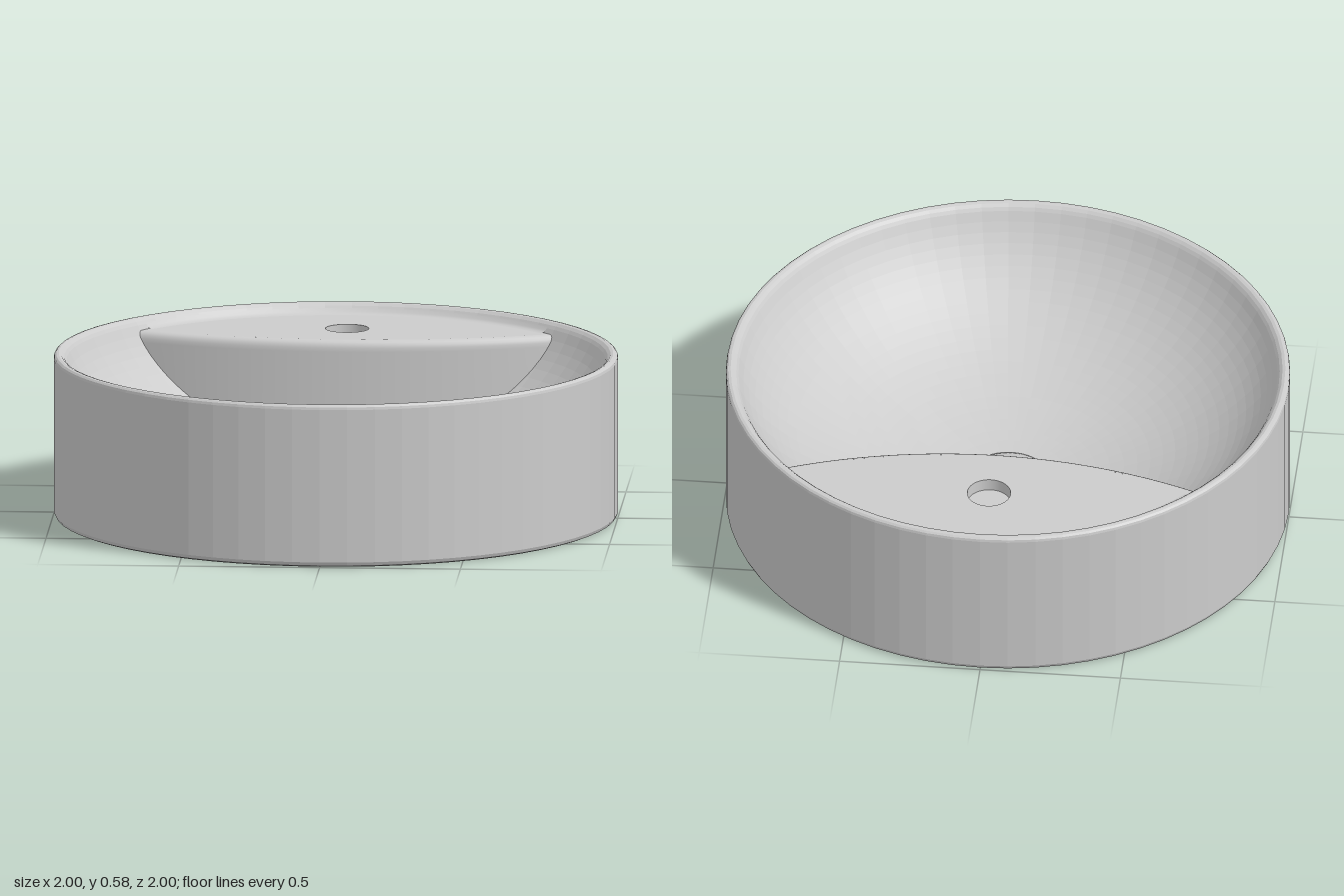
import * as THREE from 'three';

const SHELF_Y = 0.545, HOLE_Z = -0.68, HOLE_R = 0.077, HOLE_DEPTH = 0.045;
const ARC_R = 1.88, ARC_Z = -0.465 - ARC_R; // circle that shapes the shelf front

const flat = new THREE.MeshStandardMaterial({ color: 0xcccccc, flatShading: true });
const smooth = new THREE.MeshStandardMaterial({ color: 0xcccccc });
const openSurface = new THREE.MeshStandardMaterial({ color: 0xcccccc, side: THREE.DoubleSide });

// Height of the elliptical bowl surface at a distance from the axis
const bowlY = (r) => 0.09 + 0.67 * (1 - Math.sqrt(Math.max(0, 1 - r * r)));

const toPoints = (list) => list.map(([x, y]) => new THREE.Vector2(x, y));

function addMesh(group, name, geometry, material) {
  const mesh = new THREE.Mesh(geometry, material);
  mesh.name = name;
  group.add(mesh);
  return mesh;
}

// Point on the shelf front arc, pushed forward by an offset
function arcPoint(angle, offset = 0) {
  const r = ARC_R + offset;
  return [r * Math.sin(angle), ARC_Z + r * Math.cos(angle)];
}

// Outer wall, rounded rim, bowl and drain recess as one turned profile
function basinGeometry() {
  const profile = [
    [0, 0.05], [0.078, 0.05], [0.078, 0], [0.982, 0], [0.994, 0.005], [1, 0.018],
    [1, 0.568], [0.998, 0.577], [0.992, 0.583], [0.983, 0.585], [0.973, 0.582], [0.963, 0.573],
  ];
  const steps = 24;
  const maxAngle = Math.asin(0.955);
  for (let i = 0; i <= steps; i++) {
    const r = Math.sin(maxAngle * (1 - i / steps));
    profile.push([r, bowlY(r)]);
  }
  return new THREE.LatheGeometry(toPoints(profile), 64);
}

// Crescent-shaped flat shelf with the tap hole
function shelfGeometry() {
  const outline = [];
  const n = 40, frontAngle = Math.asin(0.72 / ARC_R);
  for (let i = 0; i <= n; i++) {
    const [x, z] = arcPoint(frontAngle * (2 * i / n - 1));
    outline.push(new THREE.Vector2(x, -z));
  }
  const [endX, endZ] = arcPoint(frontAngle);
  const backAngle = Math.atan2(endX, -endZ);
  for (let i = 1; i < n; i++) {
    const a = backAngle * (1 - 2 * i / n);
    outline.push(new THREE.Vector2(0.95 * Math.sin(a), 0.95 * Math.cos(a)));
  }
  const shape = new THREE.Shape(outline);
  shape.holes.push(new THREE.Path().absarc(0, -HOLE_Z, HOLE_R, 0, Math.PI * 2, true));
  return new THREE.ShapeGeometry(shape, 20).rotateX(-Math.PI / 2).translate(0, SHELF_Y, 0);
}

// Curved wall from the rounded shelf edge down to the bowl
function riserGeometry() {
  const rows = [[0, 0], [0.008, 0.002], [0.016, 0.007], [0.022, 0.015], [0.025, 0.026], [0.026, 0.04]];
  const nx = 48, ny = rows.length;
  const geometry = new THREE.PlaneGeometry(1, 1, nx, ny);
  const pos = geometry.attributes.position;
  const half = Math.asin(0.735 / ARC_R);
  for (let k = 0; k < pos.count; k++) {
    const i = k % (nx + 1), j = Math.floor(k / (nx + 1));
    const [offset, drop] = rows[Math.min(j, ny - 1)];
    const [x, z] = arcPoint(half * (2 * i / nx - 1), offset);
    const rowY = SHELF_Y - drop;
    const y = j < ny ? rowY : Math.min(rowY, bowlY(Math.hypot(x, z)) - 0.015);
    pos.setXYZ(k, x, y, z);
  }
  geometry.computeVertexNormals();
  return geometry;
}

export function createModel() {
  const basin = new THREE.Group();
  basin.name = 'washBasin';

  addMesh(basin, 'basinBody', basinGeometry(), flat);

  // Tap shelf with its front wall and the fillet against the back of the bowl
  const shelf = new THREE.Group();
  shelf.name = 'tapShelf';
  basin.add(shelf);
  addMesh(shelf, 'shelfTop', shelfGeometry(), smooth);
  addMesh(shelf, 'shelfFront', riserGeometry(), openSurface);
  const fillet = toPoints([[0.957, 0.566], [0.949, 0.555], [0.941, 0.548], [0.928, SHELF_Y + 0.0005]]);
  addMesh(shelf, 'shelfBackFillet', new THREE.LatheGeometry(fillet, 32, Math.PI - 0.84, 1.68), openSurface);

  // Blind tap hole
  const tapHole = new THREE.CylinderGeometry(HOLE_R, HOLE_R, HOLE_DEPTH, 40, 1, true);
  addMesh(shelf, 'tapHoleWall', tapHole, openSurface).position.set(0, SHELF_Y - HOLE_DEPTH / 2, HOLE_Z);
  const tapFloor = new THREE.CircleGeometry(HOLE_R, 40).rotateX(-Math.PI / 2);
  addMesh(shelf, 'tapHoleFloor', tapFloor, smooth).position.set(0, SHELF_Y - HOLE_DEPTH, HOLE_Z);

  // Domed drain cover
  const dome = [[0.145, 0.085]];
  for (let i = 0; i <= 10; i++) {
    const r = 0.145 * (1 - i / 10);
    dome.push([r, 0.102 + 0.035 * (1 - (r / 0.145) ** 2)]);
  }
  addMesh(basin, 'drainCover', new THREE.LatheGeometry(toPoints(dome), 48), smooth);

  return basin;
}
